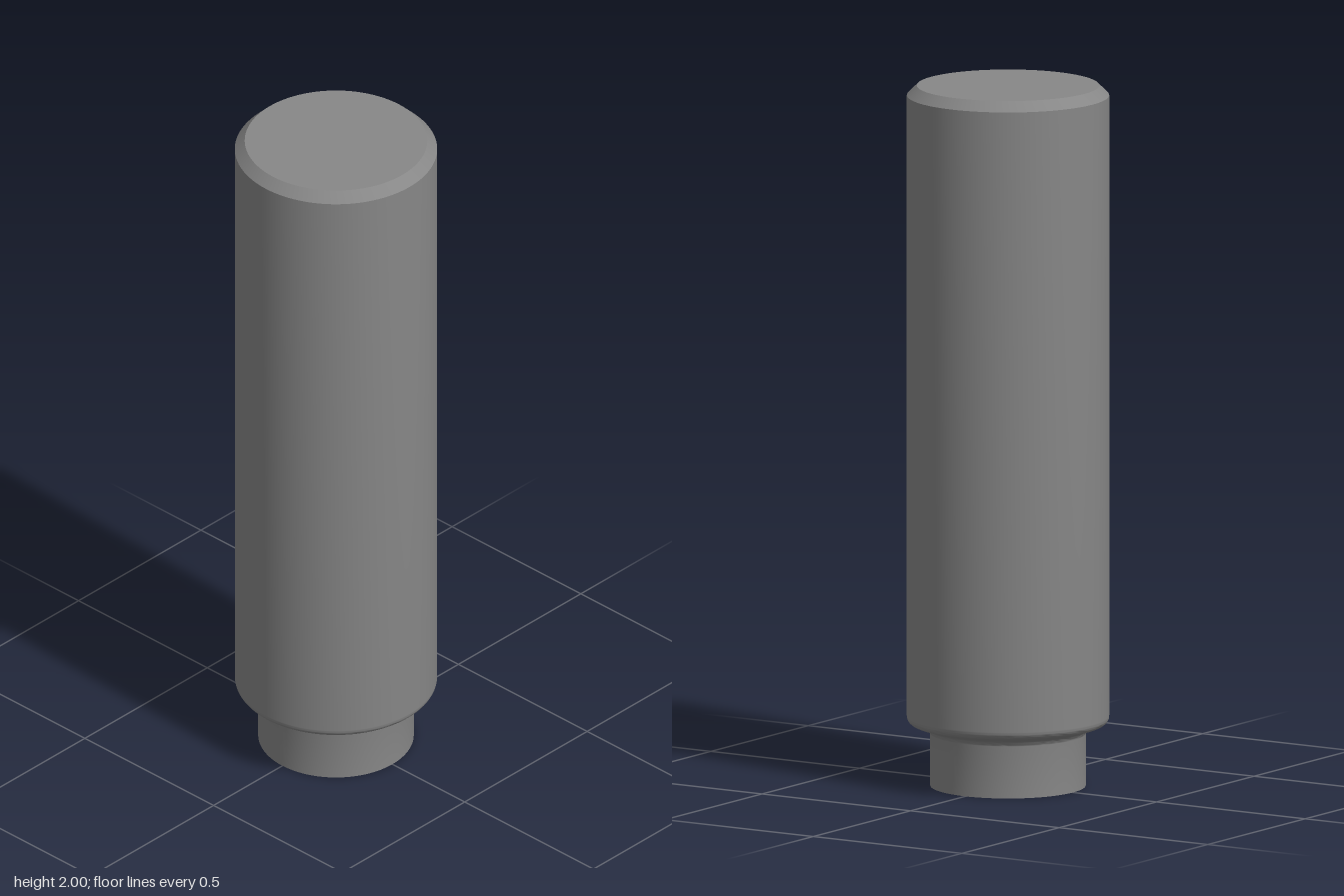
import * as THREE from 'three';
import { toCreasedNormals } from 'three/addons/utils/BufferGeometryUtils.js';

export function createModel() {
  const group = new THREE.Group();
  const material = new THREE.MeshStandardMaterial({ color: 0x878787 });

  // Half section of the hollow tube: cavity downwards, round the rim, outside upwards
  const section = new THREE.Path();
  section.moveTo(0, 1.94);
  section.lineTo(0.225, 1.94);
  section.lineTo(0.225, 0.21);
  // inner shoulder
  section.quadraticCurveTo(0.225, 0.16, 0.157, 0.13);
  // bore and chamfered mouth
  section.lineTo(0.157, 0.015);
  section.lineTo(0.18, 0);
  section.lineTo(0.219, 0);
  // neck and outer shoulder
  section.lineTo(0.219, 0.145);
  section.quadraticCurveTo(0.219, 0.163, 0.242, 0.168);
  section.lineTo(0.262, 0.174);
  section.quadraticCurveTo(0.285, 0.18, 0.285, 0.2);
  // body and top chamfer
  section.lineTo(0.285, 1.972);
  section.lineTo(0.257, 2);
  section.lineTo(0, 2);

  const lathe = new THREE.LatheGeometry(section.getPoints(10), 96);
  const body = new THREE.Mesh(toCreasedNormals(lathe, 0.55), material);
  body.name = 'hollowBody';
  group.add(body);
  return group;
}
